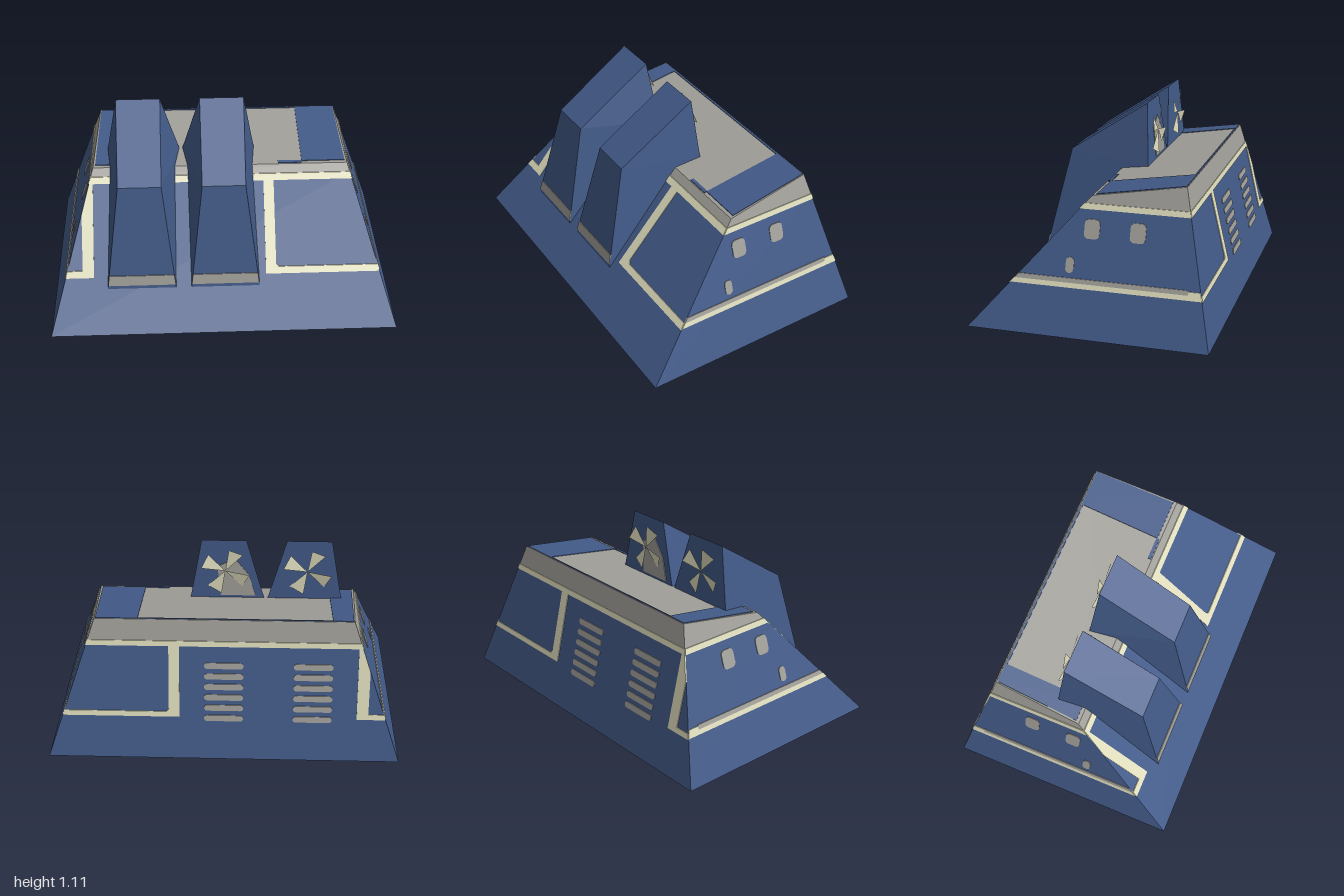
import * as THREE from 'three';

const mat = (name, color) => {
  const m = new THREE.MeshStandardMaterial({ color, side: THREE.DoubleSide });
  m.name = name;
  return m;
};

// Slopes of the hull: half width, front, back and roof planes
const halfX = y => 1 - 0.345 * y;
const frontZ = y => 0.675 - 0.883 * y;
const backZ = y => -0.675 + 0.2346 * y;
const roofY = z => 0.73 + (0.03 - z) * 0.155;
// Slopes of the scoops: lower front, rear opening and underside
const lipZ = y => 0.5 - (y - 0.2) * 0.2377;
const rearZ = y => -0.13 + (y - 0.755) * 0.0704;
const underZ = y => 0.5 - (y - 0.2) * 1.135;

// Flat-shaded surface from a list of polygons (fans of corners)
function faces(polys) {
  const pos = [];
  for (const p of polys) {
    for (let i = 1; i < p.length - 1; i++) pos.push(...p[0], ...p[i], ...p[i + 1]);
  }
  const g = new THREE.BufferGeometry();
  g.setAttribute('position', new THREE.Float32BufferAttribute(pos, 3));
  g.computeVertexNormals();
  return g;
}

// Walls between two four-cornered rings
const walls = (a, b) => a.map((p, i) => {
  const j = (i + 1) % a.length;
  return [p, a[j], b[j], b[i]];
});

const poly = pts => new THREE.Shape(pts.map(p => new THREE.Vector2(p[0], p[1])));

function rounded(cx, cy, w, h, r) {
  const s = new THREE.Shape(), x = w / 2 - r, y = h / 2 - r;
  s.absarc(cx + x, cy + y, r, 0, Math.PI / 2);
  s.absarc(cx - x, cy + y, r, Math.PI / 2, Math.PI);
  s.absarc(cx - x, cy - y, r, Math.PI, Math.PI * 1.5);
  s.absarc(cx + x, cy - y, r, Math.PI * 1.5, Math.PI * 2);
  return s;
}

// Thin painted plate: a shape laid onto a sloped plane by a mapping rule
function plate(shapes, map, thick = 0.008) {
  const g = new THREE.ExtrudeGeometry(shapes, { depth: thick, bevelEnabled: false, curveSegments: 6 });
  const p = g.attributes.position;
  for (let i = 0; i < p.count; i++) {
    p.setXYZ(i, ...map(p.getX(i), p.getY(i), p.getZ(i) - thick / 2));
  }
  g.computeVertexNormals();
  return g;
}

export function createModel() {
  const blue = mat('hull blue', 0x425a88);
  const cream = mat('cream trim', 0xdedcbc);
  const grey = mat('warm grey', 0xa09e98);

  const model = new THREE.Group();
  model.name = 'wedgeBuilding';
  const add = (parent, name, geo, material) => {
    const m = new THREE.Mesh(geo, material);
    m.name = name;
    parent.add(m);
    return m;
  };

  // Hull, open underneath
  const ring = y => [
    [-halfX(y), y, frontZ(y)], [halfX(y), y, frontZ(y)],
    [halfX(y), y, backZ(y)], [-halfX(y), y, backZ(y)],
  ];
  const top = [[-0.748, 0.73, 0.03], [0.748, 0.73, 0.03], [0.72, 0.81, -0.485], [-0.72, 0.81, -0.485]];
  add(model, 'hullWalls', faces(walls(ring(0), ring(0.69))), blue);
  add(model, 'upperRim', faces(walls(ring(0.69), top)), grey);
  add(model, 'roof', faces([top]), grey);

  // Roof panels
  const onRoof = (u, v, w) => [u, roofY(v) - w, v];
  add(model, 'roofPanels', plate([
    poly([[0.48, 0.01], [0.735, 0.01], [0.715, -0.48], [0.48, -0.48]]),
    poly([[-0.735, 0.01], [-0.6, 0.01], [-0.6, -0.48], [-0.715, -0.48]]),
    poly([[-0.6, -0.47], [0.48, -0.47], [0.48, -0.48], [-0.6, -0.48]]),
    poly([[0.34, 0.025], [0.48, 0.025], [0.48, 0.005], [0.34, 0.005]]),
  ], onRoof), blue);

  // Louvre stack, shared by the back wall and the scoop undersides
  const louvres = cx => Array.from({ length: 6 }, (_, i) =>
    rounded(cx, 0.245 + i * 0.061, 0.22, 0.034, 0.0165));

  // Trim on front and back walls
  const band = (y0, y1) => poly([[-halfX(y0), y0], [halfX(y0), y0], [halfX(y1), y1], [-halfX(y1), y1]]);
  const wallTrim = [
    band(0.66, 0.69),
    poly([[0.25, 0.25], [halfX(0.25), 0.25], [halfX(0.28), 0.28], [0.325, 0.28],
      [0.31, 0.295], [0.31, 0.66], [0.25, 0.66]]),
    poly([[-0.75, 0.25], [-0.75, 0.66], [-halfX(0.66), 0.66], [-halfX(0.53), 0.53],
      [-0.815, 0.28], [-halfX(0.28), 0.28], [-halfX(0.25), 0.25]]),
  ];
  const onFront = (u, v, w) => [u, v, frontZ(v) + w];
  const onBack = (u, v, w) => [u, v, backZ(v) + w];
  add(model, 'frontTrim', plate(wallTrim, onFront), cream);
  add(model, 'backTrim', plate(wallTrim, onBack), cream);
  add(model, 'backLouvres', plate([...louvres(0), ...louvres(-0.5)], onBack), grey);

  // Trim and windows on both sides
  const strip = (y0, y1, end) => poly([
    [frontZ(y0), y0], [frontZ(y1), y1], [end ?? backZ(y1), y1], [end ?? backZ(y0), y0]]);
  for (const s of [1, -1]) {
    const side = new THREE.Group();
    side.name = s > 0 ? 'leftSide' : 'rightSide';
    model.add(side);
    const onSide = (u, v, w) => [s * halfX(v) - w, v, u];
    add(side, 'sideTrim', plate([
      strip(0.255, 0.28), strip(0.66, 0.69),
      poly([[-0.54, 0.28], [-0.54, 0.298], [backZ(0.298), 0.298], [backZ(0.28), 0.28]]),
    ], onSide), cream);
    add(side, 'sideLedge', plate([strip(0.28, 0.304, -0.54)], onSide), grey);
    add(side, 'sideWindows', plate([
      rounded(0.013, 0.56, 0.086, 0.1, 0.025),
      rounded(-0.242, 0.56, 0.086, 0.1, 0.025),
      rounded(0.12, 0.37, 0.046, 0.08, 0.022),
    ], onSide), grey);
  }

  // Two intake scoops, mirrored about the plane x = -0.23
  for (const s of [1, -1]) {
    const X = x => (s > 0 ? x : -0.46 - x);
    const scoop = new THREE.Group();
    scoop.name = s > 0 ? 'rightScoop' : 'leftScoop';
    model.add(scoop);

    // Stations run lower front, shoulder, rear peak, rear foot
    const outer = [[X(-0.67), 0.2, 0.5], [X(-0.59), 0.81, 0.355], [X(-0.6), 1.11, -0.105], [X(-0.665), 0.755, -0.13]];
    const inner = [[X(-0.275), 0.2, 0.5], [X(-0.345), 0.81, 0.355], [X(-0.345), 1.11, -0.105], [X(-0.24), 0.755, -0.13]];
    const shell = walls(outer, inner).map(p => p.slice().reverse());
    for (const [a, flip] of [[outer, false], [inner, true]]) {
      for (const t of [[a[0], a[1], a[3]], [a[1], a[2], a[3]]]) shell.push(flip ? t.reverse() : t);
    }
    if (s < 0) shell.forEach(p => p.reverse());
    add(scoop, 'scoopShell', faces(shell), blue);

    // Grey lip across the lower front
    add(scoop, 'scoopLip', plate([poly([
      [X(-0.667), 0.22], [X(-0.277), 0.22], [X(-0.284), 0.28], [X(-0.66), 0.28]])],
    (u, v, w) => [u, v, lipZ(v) + w]), grey);

    add(scoop, 'scoopLouvres', plate(louvres(s > 0 ? -0.49 : 0),
      (u, v, w) => [u, v, underZ(v) + w], 0.006), grey);

    // Four flat fan blades at the rear opening
    const cx = X(-0.465), cy = 0.93, blades = [];
    for (let i = 0; i < 4; i++) {
      const a = i * Math.PI / 2 + 0.15;
      blades.push([
        [cx, cy, -0.135],
        [cx + 0.14 * Math.cos(a), cy + 0.14 * Math.sin(a), -0.148],
        [cx + 0.14 * Math.cos(a + 0.65), cy + 0.14 * Math.sin(a + 0.65), -0.13],
      ]);
    }
    add(scoop, 'fanBlades', faces(blades), cream);

    // Worn grey patch behind one fan
    if (s < 0) {
      add(scoop, 'rearPatch', plate([poly([
        [0.03, 0.77], [-0.17, 0.77], [-0.13, 0.9], [-0.05, 1.0], [0.05, 0.95]])],
      (u, v, w) => [u, v, rearZ(v) + w]), grey);
    }
  }

  return model;
}
